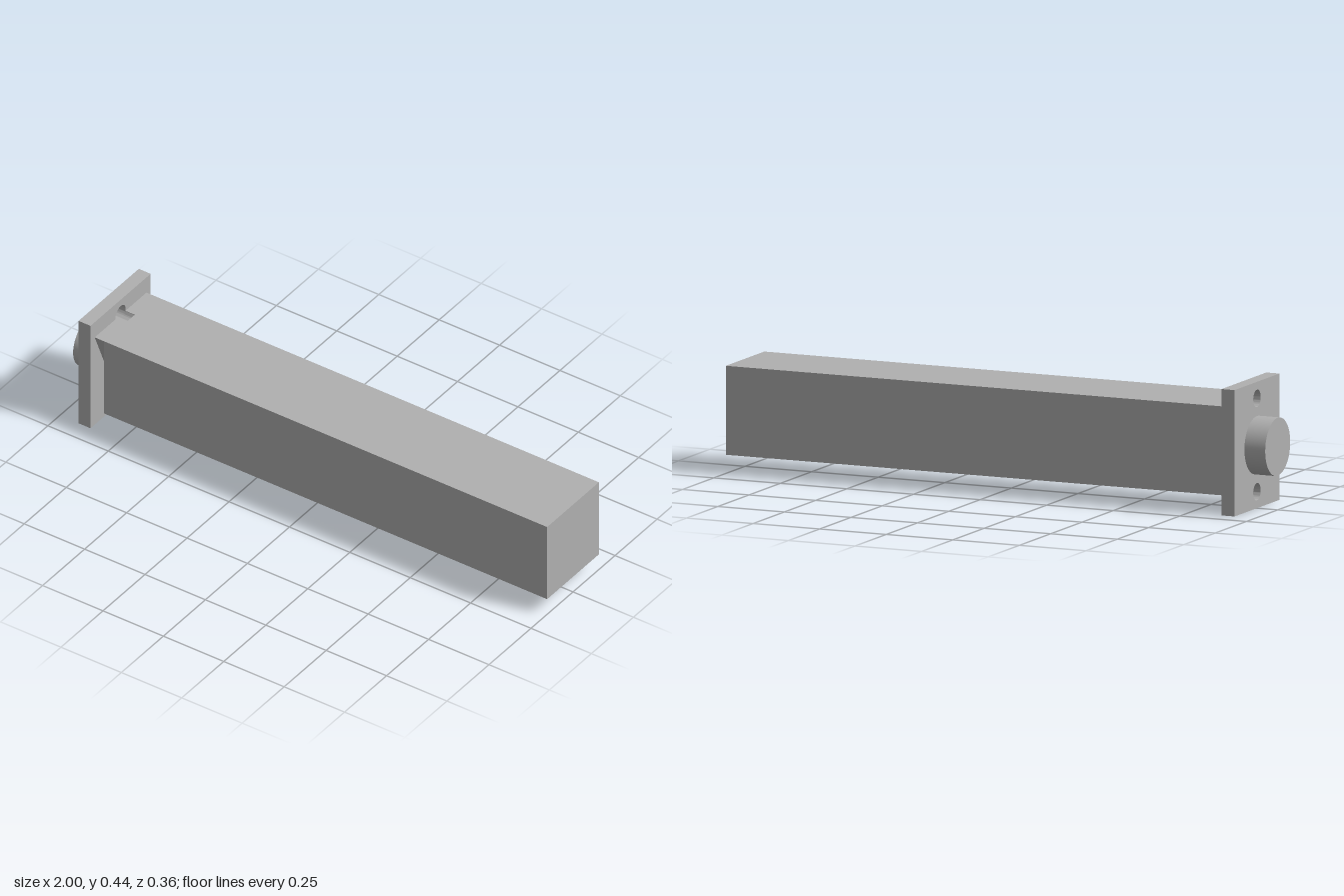
import * as THREE from 'three';
import { toCreasedNormals } from 'three/addons/utils/BufferGeometryUtils.js';

const H = 0.436, MID = H / 2;            // flange height and axis height
const HOLE_R = 0.03, HOLE_DY = 0.161;    // screw holes above and below the axis
const BAR_Z = 0.154, BAR_Y = 0.1535;     // half sizes of the bar
const X = { cap: -1, flange: -0.922, bar: -0.873, notchEnd: -0.834, end: 1 };

// Extrude a profile (drawn in z, y about the axis) along x
function extrudeX(shape, x0, x1) {
  let geo = new THREE.ExtrudeGeometry(shape, { depth: x1 - x0, bevelEnabled: false, curveSegments: 32 });
  geo.rotateY(Math.PI / 2);
  geo.translate(x0, MID, 0);
  return toCreasedNormals(geo, 0.6);
}

export function createModel() {
  const group = new THREE.Group();
  const grey = new THREE.MeshStandardMaterial({ color: 0xb0b0b0 });
  grey.name = 'grey';
  const add = (name, geo) => {
    const mesh = new THREE.Mesh(geo, grey);
    mesh.name = name;
    group.add(mesh);
  };

  // Long square bar
  const length = X.end - X.notchEnd;
  const bar = new THREE.BoxGeometry(length, BAR_Y * 2, BAR_Z * 2);
  bar.translate(X.notchEnd + length / 2, MID, 0);
  add('bar', bar);

  // Short bar root, grooved where the screw holes run into it
  const d = Math.asin((HOLE_DY - BAR_Y) / HOLE_R);
  const root = new THREE.Shape();
  root.moveTo(-BAR_Z, -BAR_Y);
  root.absarc(0, -HOLE_DY, HOLE_R, Math.PI - d, d, true);
  root.lineTo(BAR_Z, -BAR_Y);
  root.lineTo(BAR_Z, BAR_Y);
  root.absarc(0, HOLE_DY, HOLE_R, -d, d - Math.PI, true);
  root.lineTo(-BAR_Z, BAR_Y);
  root.closePath();
  add('groovedBarRoot', extrudeX(root, X.bar, X.notchEnd));

  // Flange plate with two screw holes
  const plate = new THREE.Shape();
  plate.moveTo(-0.179, -MID);
  plate.lineTo(0.179, -MID);
  plate.lineTo(0.179, MID);
  plate.lineTo(-0.179, MID);
  plate.closePath();
  for (const side of [-1, 1]) {
    plate.holes.push(new THREE.Path().absarc(0, side * HOLE_DY, HOLE_R, 0, Math.PI * 2, true));
  }
  add('flange', extrudeX(plate, X.flange, X.bar));

  // Round boss on the outer face of the flange
  const depth = X.flange - X.cap;
  const boss = new THREE.CylinderGeometry(0.1, 0.1, depth, 64);
  boss.rotateZ(Math.PI / 2);
  boss.translate(X.cap + depth / 2, MID, 0);
  add('boss', boss);

  return group;
}
